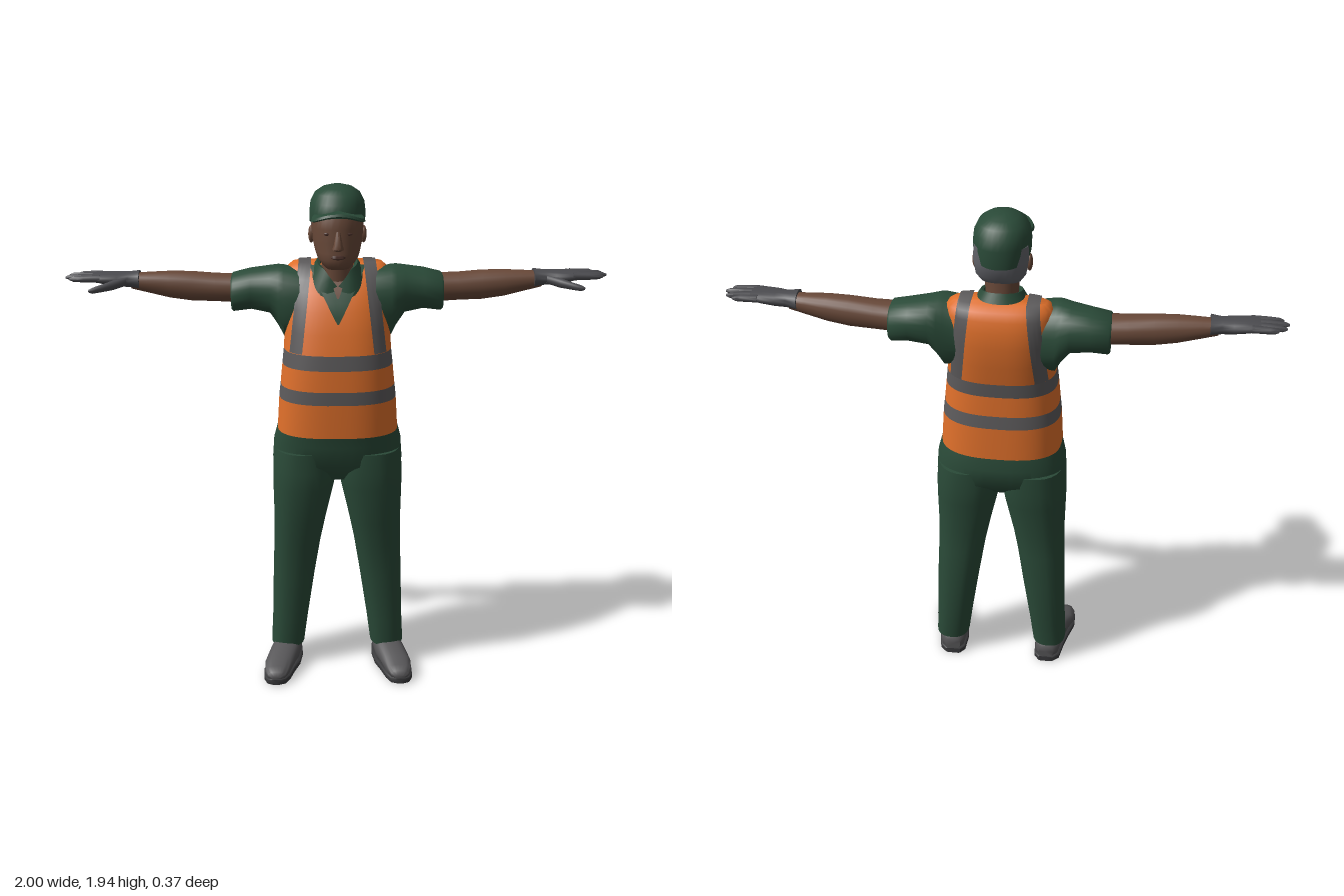
import * as THREE from 'three';
import { toCreasedNormals } from 'three/addons/utils/BufferGeometryUtils.js';

const mat = (name, color) => {
  const m = new THREE.MeshStandardMaterial({ color });
  m.name = name;
  return m;
};

// Loft of rounded cross-sections [t, aMin, aMax, bMin, bMax] along an axis.
// Axis y: a = x, b = z.  Axis x: a = z, b = y.  Axis z: a = y, b = x.
function loft(sections, { axis = 'y', n = 2.2, seg = 28, caps = true, warp } = {}) {
  const pos = [], idx = [];
  const place = (t, a, b) => {
    const p = axis === 'y' ? new THREE.Vector3(a, t, b)
      : axis === 'x' ? new THREE.Vector3(t, b, a) : new THREE.Vector3(b, a, t);
    if (warp) warp(p);
    pos.push(p.x, p.y, p.z);
  };
  const bend = v => Math.sign(v) * Math.abs(v) ** (2 / n);
  for (const [t, a0, a1, b0, b1] of sections) {
    for (let i = 0; i < seg; i++) {
      const th = i / seg * Math.PI * 2;
      place(t, (a0 + a1) / 2 + (a1 - a0) / 2 * bend(Math.cos(th)),
        (b0 + b1) / 2 + (b1 - b0) / 2 * bend(Math.sin(th)));
    }
  }
  const last = (sections.length - 1) * seg;
  for (let r = 0; r < last; r += seg) {
    for (let i = 0; i < seg; i++) {
      const j = (i + 1) % seg;
      idx.push(r + i, r + seg + i, r + j, r + j, r + seg + i, r + seg + j);
    }
  }
  if (caps) {
    const c = pos.length / 3;
    for (const s of [sections[0], sections[sections.length - 1]]) place(s[0], (s[1] + s[2]) / 2, (s[3] + s[4]) / 2);
    for (let i = 0; i < seg; i++) {
      const j = (i + 1) % seg;
      idx.push(c, i, j, c + 1, last + j, last + i);
    }
  }
  return build(pos, idx);
}

function build(pos, idx) {
  const g = new THREE.BufferGeometry();
  g.setAttribute('position', new THREE.Float32BufferAttribute(pos, 3));
  g.setIndex(idx);
  return g;
}

// Grid of points fn(row, u) with u from 0 to 1
function patch(rows, cols, fn) {
  const pos = [], idx = [];
  for (let r = 0; r < rows; r++) {
    for (let c = 0; c <= cols; c++) {
      pos.push(...fn(r, c / cols));
      if (r && c) {
        const d = r * (cols + 1) + c, b = d - cols - 1;
        idx.push(b - 1, b, d - 1, b, d, d - 1);
      }
    }
  }
  return build(pos, idx);
}

function mirrored(geo) {
  const g = geo.clone().scale(-1, 1, 1), a = g.index.array;
  for (let i = 0; i < a.length; i += 3) [a[i], a[i + 1]] = [a[i + 1], a[i]];
  return g;
}

// Torso outline: y, half width, back z, front z
const TORSO = [
  [1.03, 0.228, -0.17, 0.15], [1.16, 0.22, -0.165, 0.152], [1.21, 0.214, -0.158, 0.15],
  [1.29, 0.206, -0.155, 0.146], [1.345, 0.2, -0.158, 0.138], [1.42, 0.196, -0.17, 0.12],
  [1.5, 0.195, -0.18, 0.095], [1.56, 0.195, -0.177, 0.062], [1.6, 0.195, -0.168, 0.032],
  [1.63, 0.188, -0.155, 0], [1.65, 0.165, -0.13, -0.035],
];
const TORSO_N = 2.6;

// Point on the torso front (side 1) or back (side -1)
function onTorso(x, y, side, off) {
  let i = 1;
  while (i < TORSO.length - 1 && TORSO[i][0] < y) i++;
  const lo = TORSO[i - 1], hi = TORSO[i], k = (y - lo[0]) / (hi[0] - lo[0]);
  const [w, zb, zf] = [1, 2, 3].map(c => lo[c] + (hi[c] - lo[c]) * k);
  const bulge = Math.max(0, 1 - Math.abs(x / w) ** TORSO_N) ** (1 / TORSO_N);
  return [x, y + off * 0.6, (zb + zf) / 2 + side * ((zf - zb) / 2 * bulge + off)];
}

export function createModel() {
  const green = mat('green cloth', 0x2a4a38), orange = mat('orange vest', 0xe0702b);
  const tape = mat('grey tape', 0x5c5a5b), skin = mat('skin', 0x684838);
  const hair = mat('grey hair', 0x63646a), glove = mat('glove grey', 0x4b4b4f);
  const shoe = mat('shoe grey', 0x565557), sole = mat('sole dark', 0x39393b);
  const lip = mat('lip and eye brown', 0x4a3029);
  const model = new THREE.Group();
  model.name = 'worker';

  const add = (name, material, geo, crease = 0.8) => {
    const m = new THREE.Mesh(toCreasedNormals(geo, crease), material);
    m.name = name;
    model.add(m);
  };
  const pair = (name, material, geo) => {
    add(name + 'Left', material, geo);
    add(name + 'Right', material, mirrored(geo));
  };
  const ball = (x, y, z, rx, ry, rz) => new THREE.SphereGeometry(1, 14, 10).scale(rx, ry, rz).translate(x, y, z);

  // Trousers
  add('hips', green, loft([
    [0.83, -0.1, 0.1, -0.1, 0.06], [0.9, -0.249, 0.249, -0.172, 0.116],
    [0.98, -0.243, 0.243, -0.178, 0.122], [1.06, -0.222, 0.222, -0.16, 0.138]], { n: 2.4, seg: 40 }));
  pair('trouserLeg', green, loft([
    [0.085, 0.135, 0.268, -0.13, 0.03], [0.2, 0.12, 0.262, -0.14, 0.04], [0.4, 0.09, 0.256, -0.15, 0.045],
    [0.55, 0.066, 0.25, -0.146, 0.068], [0.65, 0.046, 0.248, -0.146, 0.086],
    [0.8, 0.012, 0.25, -0.166, 0.113], [0.87, 0, 0.249, -0.172, 0.117], [0.95, 0, 0.24, -0.17, 0.115]], { n: 2.4 }));

  // Shoes, toes turned slightly out
  pair('shoe', shoe, loft([
    [-0.128, 0.02, 0.075, 0.165, 0.225], [-0.11, 0.015, 0.095, 0.15, 0.245], [-0.04, 0.015, 0.11, 0.145, 0.258],
    [0.03, 0.015, 0.102, 0.155, 0.275], [0.09, 0.015, 0.075, 0.178, 0.293], [0.145, 0.015, 0.064, 0.195, 0.292],
    [0.172, 0.018, 0.052, 0.21, 0.28], [0.182, 0.022, 0.038, 0.228, 0.265]], { axis: 'z', n: 2.5, seg: 24 }));
  pair('sole', sole, loft([
    [-0.132, 0, 0.024, 0.165, 0.225], [-0.11, 0, 0.026, 0.146, 0.249], [-0.04, 0, 0.026, 0.142, 0.262],
    [0.03, 0, 0.026, 0.152, 0.279], [0.09, 0, 0.026, 0.174, 0.297], [0.145, 0, 0.026, 0.191, 0.296],
    [0.175, 0, 0.026, 0.208, 0.284], [0.187, 0.003, 0.026, 0.228, 0.265]], { axis: 'z', n: 6, seg: 24 }));

  // Vest in stacked slices with two reflective bands
  [['vestHem', orange, 0, 1], ['lowerBand', tape, 1, 2], ['vestWaist', orange, 2, 3],
    ['upperBand', tape, 3, 4], ['vestChest', orange, 4, TORSO.length - 1]].forEach(([name, m, a, b]) => {
    const rows = TORSO.slice(a, b + 1).map(([y, w, zb, zf]) => [y, -w, w, zb, zf]);
    add(name, m, loft(rows, { n: TORSO_N, seg: 56 }));
  });

  // Shoulder straps run up the front and down the back
  const rise = TORSO.slice(4).map(s => s[0]);
  const path = [...rise.map(y => [y, 1]), ...rise.slice().reverse().map(y => [y, -1])];
  pair('shoulderTape', tape, patch(path.length, 6, (r, u) => {
    const [y, side] = path[r], mid = 0.155 - (y - 1.345) / 0.305 * 0.035;
    return onTorso(mid + (u - 0.5) * 0.046, y, side, 0.006);
  }));

  // Shirt showing in the neck of the vest, with a bare throat
  const vee = (y0, y1, half, off) => patch(9, 10, (r, u) => {
    const k = r / 8;
    return onTorso((u - 0.5) * 2 * (0.003 + half * k), y0 + (y1 - y0) * k, 1, off);
  });
  add('shirtFront', green, vee(1.455, 1.645, 0.1, 0.005));
  add('throat', skin, vee(1.54, 1.63, 0.035, 0.009));
  add('neck', skin, loft([
    [1.56, -0.06, 0.06, -0.1, 0.045], [1.64, -0.058, 0.058, -0.09, 0.045], [1.73, -0.062, 0.062, -0.085, 0.05]]));
  add('collar', green, loft([
    [1.585, -0.125, 0.125, -0.15, 0.075], [1.63, -0.1, 0.1, -0.128, 0.066], [1.672, -0.074, 0.074, -0.108, 0.056],
    [1.668, -0.064, 0.064, -0.098, 0.05], [1.6, -0.056, 0.056, -0.09, 0.04]], {
    seg: 40, caps: false,
    warp: p => {
      p.y -= (p.z + 0.06) * 0.25;
      if (p.z > 0) p.y -= 0.06 * Math.max(0, 1 - Math.abs(p.x) / 0.05);
    },
  }));

  // Arms: sleeve, bare forearm and glove
  pair('sleeve', green, loft([
    [0.14, -0.15, 0.055, 1.38, 1.63], [0.198, -0.158, 0.052, 1.375, 1.642], [0.218, -0.163, 0.045, 1.415, 1.642],
    [0.25, -0.165, 0.03, 1.462, 1.636], [0.32, -0.165, 0.014, 1.475, 1.625],
    [0.385, -0.156, 0.014, 1.468, 1.61], [0.392, -0.15, 0.008, 1.474, 1.604]], { axis: 'x' }));
  pair('forearm', skin, loft([
    [0.36, -0.13, -0.01, 1.5, 1.605], [0.45, -0.127, -0.014, 1.505, 1.608], [0.54, -0.122, -0.016, 1.508, 1.616],
    [0.62, -0.115, -0.018, 1.52, 1.618], [0.7, -0.104, -0.025, 1.54, 1.615], [0.76, -0.095, -0.03, 1.555, 1.612]],
  { axis: 'x', seg: 20 }));
  pair('glovePalm', glove, loft([
    [0.73, -0.107, -0.014, 1.556, 1.622], [0.77, -0.098, -0.024, 1.562, 1.618], [0.81, -0.105, -0.01, 1.566, 1.618],
    [0.86, -0.108, -0.006, 1.576, 1.618], [0.9, -0.104, -0.012, 1.586, 1.614]], { axis: 'x', seg: 20 }));
  // Finger: start z, tip z, tip x
  [[-0.095, -0.103, 0.962], [-0.07, -0.083, 0.99], [-0.045, -0.05, 1], [-0.022, -0.022, 0.982]].forEach(([z0, z1, tip], i) => {
    const rows = [[0.87, z0, 0.014], [0.93, (z0 + z1) / 2, 0.0125], [tip - 0.015, z1, 0.01], [tip, z1, 0.004]]
      .map(([x, z, r]) => [x, z - r, z + r, 1.6 - r, 1.6 + r]);
    pair('finger' + (i + 1), glove, loft(rows, { axis: 'x', seg: 10 }));
  });
  pair('thumb', glove, loft([
    [0.775, -0.05, -0.018, 1.572, 1.604], [0.82, -0.03, 0.012, 1.562, 1.598], [0.86, 0.002, 0.032, 1.56, 1.588],
    [0.892, 0.022, 0.043, 1.558, 1.58], [0.905, 0.034, 0.042, 1.564, 1.574]], { axis: 'x', seg: 12 }));

  // Head and face
  add('head', skin, loft([
    [1.655, -0.04, 0.04, 0.02, 0.095], [1.668, -0.055, 0.055, -0.01, 0.108], [1.69, -0.073, 0.073, -0.045, 0.114],
    [1.715, -0.082, 0.082, -0.08, 0.113], [1.75, -0.09, 0.09, -0.105, 0.11], [1.8, -0.094, 0.094, -0.118, 0.11],
    [1.86, -0.093, 0.093, -0.116, 0.102], [1.9, -0.07, 0.07, -0.09, 0.07]]), 1.2);
  add('nose', skin, loft([
    [1.726, -0.012, 0.012, 0.09, 0.12], [1.733, -0.021, 0.021, 0.09, 0.132],
    [1.748, -0.016, 0.016, 0.09, 0.131], [1.795, -0.008, 0.008, 0.09, 0.113]], { seg: 12 }));
  add('lips', lip, ball(0, 1.703, 0.11, 0.026, 0.009, 0.009), 1.2);
  pair('eye', lip, ball(0.036, 1.785, 0.1, 0.015, 0.006, 0.004));
  pair('ear', skin, ball(0.095, 1.765, -0.012, 0.011, 0.032, 0.02));
  add('hair', hair, loft([
    [1.715, -0.07, 0.07, -0.094, -0.02], [1.74, -0.088, 0.088, -0.112, 0],
    [1.79, -0.096, 0.096, -0.123, 0.01], [1.85, -0.095, 0.095, -0.122, 0.01]]), 1.2);

  // Cap, lower at the back, with a curved brim
  add('capCrown', green, loft([
    [1.812, -0.1, 0.1, -0.132, 0.114], [1.85, -0.101, 0.101, -0.136, 0.114], [1.885, -0.097, 0.097, -0.129, 0.105],
    [1.915, -0.082, 0.082, -0.107, 0.085], [1.934, -0.055, 0.055, -0.075, 0.055], [1.944, -0.02, 0.02, -0.03, 0.015]], {
    seg: 32,
    warp: p => { p.y += Math.max(0, (1.85 - p.y) / 0.038) * (p.z + 0.01) * 0.24; },
  }), 1.1);
  add('capBrim', green, loft([
    [1.856, -0.09, 0.09, 0.03, 0.18], [1.862, -0.096, 0.096, 0.03, 0.186], [1.87, -0.092, 0.092, 0.03, 0.182]], {
    seg: 32, n: 2.4, warp: p => { p.y -= p.x * p.x * 3; },
  }));

  return model;
}
